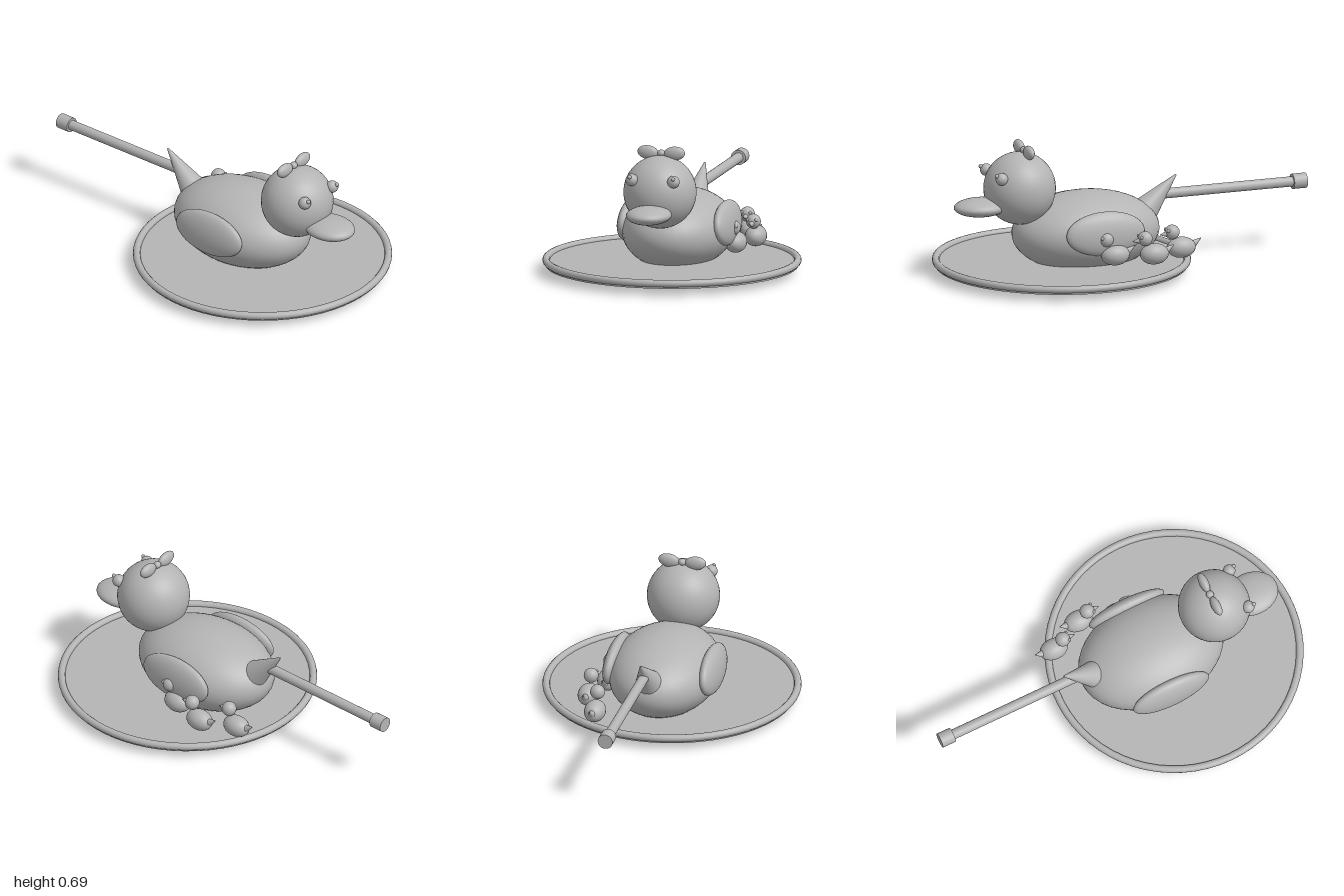
import * as THREE from 'three';

const clay = new THREE.MeshStandardMaterial({ color: 0xb4b4b4 });
clay.name = 'clay grey';

function add(parent, name, geometry, x, y, z) {
  const mesh = new THREE.Mesh(geometry, clay);
  mesh.name = name;
  mesh.position.set(x, y, z);
  parent.add(mesh);
  return mesh;
}

// Sphere stretched to the half sizes rx, ry, rz
function ball(parent, name, [rx, ry, rz], [x, y, z], segments = 28) {
  const geometry = new THREE.SphereGeometry(1, segments, Math.round(segments * 0.7)).scale(rx, ry, rz);
  return add(parent, name, geometry, x, y, z);
}

// Tapered round bar between two points
function bar(parent, name, from, to, r0, r1, segments = 24) {
  const a = new THREE.Vector3(...from), b = new THREE.Vector3(...to);
  const direction = b.clone().sub(a);
  const mid = a.clone().add(b).multiplyScalar(0.5);
  const mesh = add(parent, name, new THREE.CylinderGeometry(r1, r0, direction.length(), segments), mid.x, mid.y, mid.z);
  mesh.quaternion.setFromUnitVectors(new THREE.Vector3(0, 1, 0), direction.normalize());
  return mesh;
}

// Shallow round tray with a raised rim
function makeTray() {
  const tray = new THREE.Group();
  tray.name = 'tray';
  add(tray, 'trayBase', new THREE.CylinderGeometry(0.645, 0.645, 0.025, 64), 0, 0.049, 0.333);
  add(tray, 'trayRim', new THREE.TorusGeometry(0.642, 0.019, 12, 64).rotateX(Math.PI / 2), 0, 0.063, 0.333);
  return tray;
}

function makeDuck() {
  const duck = new THREE.Group();
  duck.name = 'motherDuck';
  ball(duck, 'body', [0.282, 0.205, 0.39], [0, 0.205, 0.202], 40);
  ball(duck, 'head', [0.187, 0.187, 0.185], [0, 0.458, 0.562], 36);
  ball(duck, 'beak', [0.115, 0.046, 0.14], [0, 0.376, 0.775]);
  bar(duck, 'tail', [0, 0.16, -0.005], [0, 0.452, -0.293], 0.117, 0.004, 32);
  for (const s of [-1, 1]) {
    ball(duck, 'wing', [0.048, 0.113, 0.214], [s * 0.255, 0.243, 0.19]).rotation.z = s * 0.12;
    ball(duck, 'eye', [0.032, 0.032, 0.032], [s * 0.11, 0.541, 0.702], 20);
    ball(duck, 'pupil', [0.011, 0.011, 0.011], [s * 0.115, 0.56, 0.73], 12);
    ball(duck, 'bowLoop', [0.056, 0.036, 0.024], [s * 0.07, 0.656, 0.538], 20).rotation.z = s * 0.1;
  }
  ball(duck, 'bowKnot', [0.021, 0.018, 0.02], [0, 0.655, 0.538], 16);
  return duck;
}

// Small duckling, with its origin below the centre of its body
function makeDuckling(x, z) {
  const duckling = new THREE.Group();
  duckling.name = 'duckling';
  ball(duckling, 'ducklingBody', [0.055, 0.054, 0.076], [0, 0.136, 0], 20);
  ball(duckling, 'ducklingHead', [0.038, 0.038, 0.038], [0, 0.22, 0.05], 20);
  bar(duckling, 'ducklingBeak', [0, 0.213, 0.075], [0, 0.21, 0.118], 0.018, 0.001, 12);
  bar(duckling, 'ducklingTail', [0, 0.135, -0.045], [0, 0.176, -0.108], 0.028, 0.001, 12);
  for (const s of [-1, 1]) {
    ball(duckling, 'ducklingEye', [0.009, 0.009, 0.009], [s * 0.022, 0.232, 0.078], 10);
  }
  duckling.position.set(x, 0, z);
  return duckling;
}

export function createModel() {
  const model = new THREE.Group();
  model.name = 'duckTray';
  model.add(makeTray(), makeDuck());

  // Ducklings following beside the mother's left wing
  for (const [x, z] of [[0.288, 0.15], [0.34, -0.043], [0.259, -0.222]]) model.add(makeDuckling(x, z));

  // Long handle with an end cap
  const handle = new THREE.Group();
  handle.name = 'handle';
  bar(handle, 'handleRod', [0, 0.357, -0.2], [0, 0.357, -0.94], 0.026, 0.026);
  bar(handle, 'handleCap', [0, 0.357, -0.927], [0, 0.357, -1], 0.039, 0.039);
  model.add(handle);
  return model;
}
